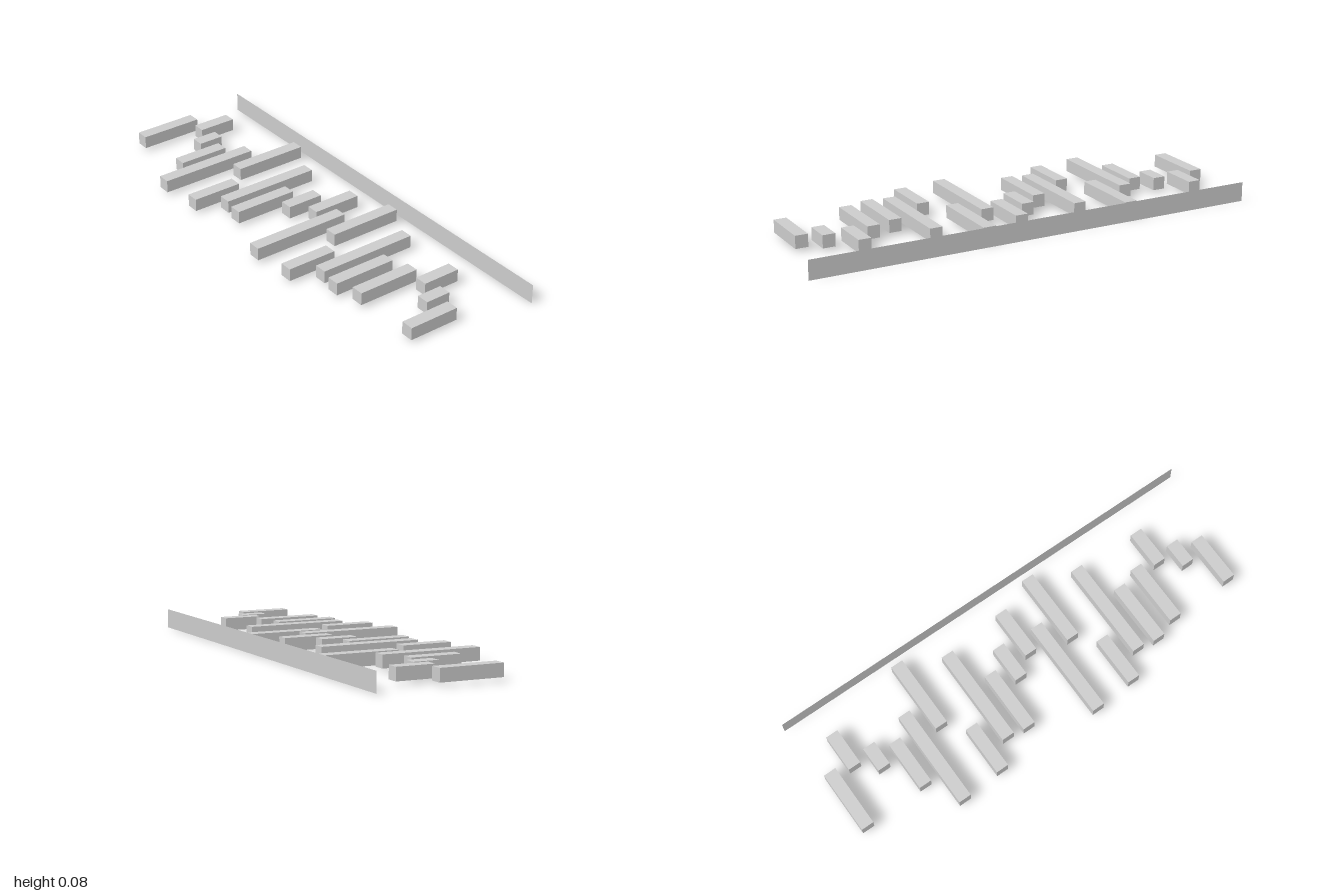
import * as THREE from 'three';

export function createModel() {
  const group = new THREE.Group();
  const material = new THREE.MeshStandardMaterial({ color: 0xcccccc, flatShading: true });
  const sheetMaterial = new THREE.MeshStandardMaterial({ color: 0xcccccc, side: THREE.DoubleSide });

  // Thin upright strip along the back
  const strip = new THREE.Mesh(new THREE.PlaneGeometry(2, 0.084), sheetMaterial);
  strip.name = 'backStrip';
  strip.position.set(0, 0.042, -0.344);
  group.add(strip);

  // Bar lengths: back z, front z, bottom y
  const pattern = [
    [-0.068, 0.21, 0.016], [-0.198, -0.03, 0.016], [-0.07, 0.042, 0.012], [-0.024, 0.2, 0.012],
    [-0.097, 0.344, 0.016], [-0.297, -0.03 + 0.06, 0.013], [0.106, 0.328, 0.012], [-0.21, 0.23, 0.015],
    [-0.036, 0.243, 0.015], [-0.112, 0.05, 0.015], [-0.233, -0.015, 0.015],
  ];
  // Row of bars; the second half reuses earlier lengths
  const order = [0, 1, 2, 3, 4, 5, 6, 7, 8, 9, 10, 4, 5, 6, 7, 8, 0, 1, 2, 3];
  const xs = [-0.95, -0.854, -0.758, -0.662, -0.566, -0.467, -0.37, -0.272, -0.176, -0.08,
    0.017, 0.103, 0.2, 0.296, 0.394, 0.491, 0.602, 0.699, 0.796, 0.893];
  const size = 0.055;
  order.forEach((p, i) => {
    const [back, front, bottom] = pattern[p];
    const bar = new THREE.Mesh(new THREE.BoxGeometry(size, size, front - back), material);
    bar.name = `bar${i + 1}`;
    bar.position.set(xs[i], bottom + size / 2, (back + front) / 2);
    group.add(bar);
  });

  return group;
}
